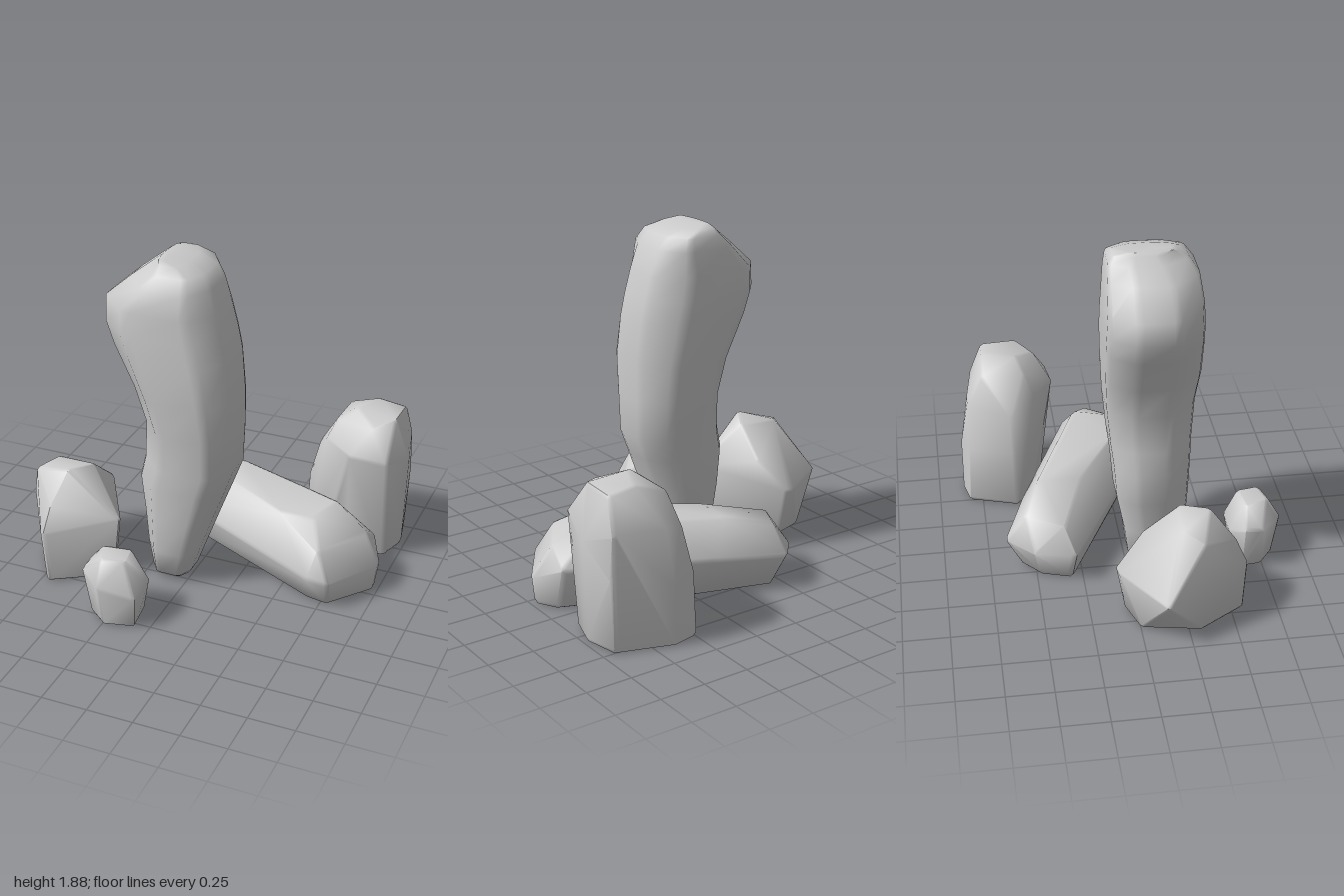
import * as THREE from 'three';
import { ConvexGeometry } from 'three/addons/geometries/ConvexGeometry.js';
import { toCreasedNormals } from 'three/addons/utils/BufferGeometryUtils.js';

const stone = new THREE.MeshStandardMaterial({ color: 0xcccccc });

function addMesh(group, name, geometry) {
  const mesh = new THREE.Mesh(toCreasedNormals(geometry, 0.95), stone);
  mesh.name = name;
  group.add(mesh);
}

// Convex boulder: hull of the corners, each worn round by a small ball of radius r
function boulder(corners, r) {
  const pts = corners.map(c => new THREE.Vector3(...c));
  const box = new THREE.Box3().setFromPoints(pts);
  const mid = box.getCenter(new THREE.Vector3());
  const size = box.getSize(new THREE.Vector3());
  const inset = new THREE.Vector3(1 - 2 * r / size.x, 1 - 2 * r / size.y, 1 - 2 * r / size.z);
  const ball = new THREE.IcosahedronGeometry(r, 0).getAttribute('position');
  const dirs = new Map();
  for (let i = 0; i < ball.count; i++) {
    const d = new THREE.Vector3().fromBufferAttribute(ball, i);
    dirs.set(d.toArray().map(v => v.toFixed(4)).join(), d);
  }
  const cloud = [];
  for (const p of pts) {
    const q = p.clone().sub(mid).multiply(inset).add(mid);
    for (const d of dirs.values()) cloud.push(q.clone().add(d));
  }
  return new ConvexGeometry(cloud);
}

// Standing stone: uneven octagon lofted through [y, xMin, xMax, zMin, zMax] sections
function loft(sections, plan) {
  const outline = [];
  plan.forEach((p, i) => {
    const prev = plan[(i + plan.length - 1) % plan.length];
    const next = plan[(i + 1) % plan.length];
    for (const n of [prev, next]) outline.push([p[0] + (n[0] - p[0]) * 0.12, p[1] + (n[1] - p[1]) * 0.12]);
  });
  const n = outline.length, pos = [], idx = [];
  for (const [y, x0, x1, z0, z1] of sections) {
    for (const [u, v] of outline) {
      pos.push((x0 + x1) / 2 + u * (x1 - x0) / 2, y, (z0 + z1) / 2 + v * (z1 - z0) / 2);
    }
  }
  for (let i = 0; i < sections.length - 1; i++) {
    for (let j = 0; j < n; j++) {
      const a = i * n + j, b = i * n + (j + 1) % n;
      idx.push(a, a + n, b, b, a + n, b + n);
    }
  }
  // end caps
  const top = (sections.length - 1) * n;
  for (let j = 1; j < n - 1; j++) {
    idx.push(0, j, j + 1, top, top + j + 1, top + j);
  }
  const g = new THREE.BufferGeometry();
  g.setAttribute('position', new THREE.Float32BufferAttribute(pos, 3));
  g.setIndex(idx);
  return g;
}

export function createModel() {
  const group = new THREE.Group();
  group.name = 'standingStones';

  addMesh(group, 'tallStone', loft([
    [0.005, -0.2, -0.02, 0.04, 0.25],
    [0.04, -0.23, 0.0, 0.02, 0.3],
    [0.2, -0.245, 0.06, 0.0, 0.345],
    [0.4, -0.265, 0.13, -0.04, 0.36],
    [0.6, -0.29, 0.205, -0.055, 0.37],
    [0.73, -0.26, 0.252, -0.07, 0.38],
    [0.95, -0.25, 0.257, -0.09, 0.395],
    [1.15, -0.31, 0.257, -0.1, 0.42],
    [1.38, -0.43, 0.235, -0.11, 0.415],
    [1.5, -0.475, 0.21, -0.11, 0.41],
    [1.63, -0.472, 0.175, -0.105, 0.4],
    [1.76, -0.325, 0.13, -0.095, 0.385],
    [1.83, -0.235, 0.085, -0.085, 0.335],
    [1.865, -0.19, -0.02, -0.06, 0.28],
    [1.88, -0.17, -0.12, 0.0, 0.25],
  ], [[-1, -0.45], [-0.65, -1], [0.55, -1], [1, -0.45], [1, 0.4], [0.65, 1], [-0.45, 1], [-1, 0.35]]));

  addMesh(group, 'leftBoulder', boulder([
    [-0.86, 0, 0.32], [-0.7, 0, 0.57], [-0.39, 0, 0.38], [-0.62, 0, -0.06], [-0.8, 0, 0.0],
    [-1.01, 0.27, 0.11], [-0.72, 0.3, 0.58], [-0.36, 0.36, 0.36], [-0.64, 0.28, -0.11], [-0.7, 0.28, -0.1],
    [-0.87, 0.56, 0.32], [-0.79, 0.595, 0.22], [-0.65, 0.625, 0.38], [-0.57, 0.605, 0.24],
    [-0.7, 0.45, 0.515], [-0.55, 0.44, 0.05],
  ], 0.022));

  addMesh(group, 'smallBoulder', boulder([
    [-0.35, 0, 0.64], [-0.34, 0, 0.74], [-0.24, 0, 0.82], [-0.08, 0, 0.78], [-0.1, 0, 0.62], [-0.28, 0, 0.6],
    [-0.4, 0.28, 0.64], [-0.4, 0.27, 0.73], [-0.25, 0.25, 0.86], [-0.06, 0.2, 0.81], [-0.04, 0.25, 0.67],
    [-0.1, 0.2, 0.57], [-0.32, 0.22, 0.565],
    [-0.31, 0.385, 0.65], [-0.26, 0.385, 0.78], [-0.14, 0.385, 0.75], [-0.16, 0.385, 0.63],
  ], 0.025));

  addMesh(group, 'backBoulder', boulder([
    [0.41, 0, -0.55], [0.5, 0, -0.83], [0.64, 0, -0.86], [0.94, 0, -0.76],
    [0.98, 0, -0.56], [0.93, 0, -0.4], [0.7, 0, -0.4], [0.56, 0, -0.46],
    [0.42, 0.35, -0.56], [0.51, 0.35, -0.82], [0.64, 0.3, -0.86], [0.96, 0.4, -0.76], [1.0, 0.56, -0.55],
    [0.48, 0.58, -0.56], [0.58, 0.62, -0.81], [0.66, 0.62, -0.81], [0.95, 0.64, -0.77],
    [0.94, 0.64, -0.33], [0.73, 0.66, -0.31], [0.56, 0.68, -0.43],
    [0.6, 0.78, -0.48], [0.61, 0.78, -0.72], [0.7, 0.85, -0.52], [0.78, 0.84, -0.7], [0.93, 0.82, -0.7],
    [0.93, 0.83, -0.5], [0.83, 0.8, -0.41],
  ], 0.025));

  // stone lying on its side, undercut along its base
  addMesh(group, 'fallenStone', boulder([
    [-0.33, 0, -0.33], [-0.28, 0, -0.49], [-0.19, 0, -0.57], [0.2, 0, -0.45], [0.92, 0, -0.15],
    [0.98, 0, -0.04], [0.8, 0, 0.19], [0.69, 0, 0.17], [0.05, 0, -0.15],
    [-0.38, 0.18, -0.31], [-0.34, 0.18, -0.52], [-0.22, 0.2, -0.66], [0.15, 0.22, -0.53], [0.92, 0.24, -0.21],
    [1.0, 0.16, -0.05], [0.81, 0.16, 0.25], [0.71, 0.17, 0.25], [0.0, 0.2, -0.14],
    [-0.31, 0.32, -0.36], [-0.21, 0.34, -0.56], [0.05, 0.41, -0.45], [0.05, 0.41, -0.23],
    [0.5, 0.43, -0.26], [0.72, 0.435, -0.17], [0.66, 0.43, 0.04], [0.47, 0.43, 0.03], [0.91, 0.33, -0.09], [0.74, 0.32, 0.19],
  ], 0.03));

  return group;
}
